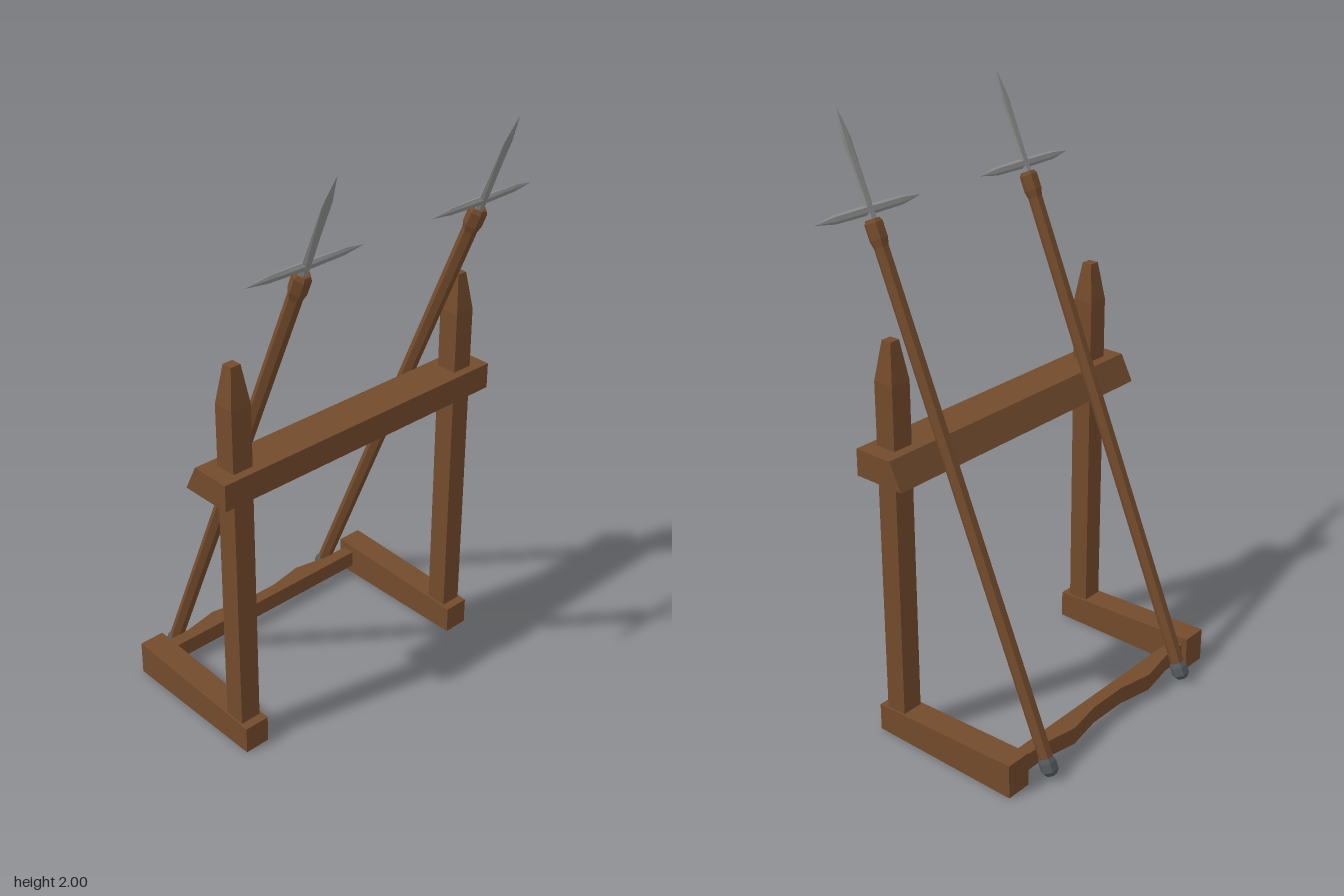
import * as THREE from 'three';

const HEX = [[1, 0], [0.5, 1], [-0.5, 1], [-1, 0], [-0.5, -1], [0.5, -1]];
const SQUARE = [[1, 1], [-1, 1], [-1, -1], [1, -1]];

// Faceted loft along y: sections are [y, half width in x, half depth in z]
function loft(outline, sections) {
  const pos = [];
  const n = outline.length;
  const rings = sections.map(([y, rx, rz]) => outline.map(([x, z]) => [x * rx, y, z * rz]));
  const tri = (a, b, c) => pos.push(...a, ...b, ...c);
  for (let k = 0; k < n; k++) {
    const m = (k + 1) % n;
    for (let i = 0; i < rings.length - 1; i++) {
      const lo = rings[i], hi = rings[i + 1];
      tri(lo[k], hi[k], hi[m]);
      tri(lo[k], hi[m], lo[m]);
    }
    const top = rings[rings.length - 1];
    tri([0, sections[0][0], 0], rings[0][k], rings[0][m]);
    tri([0, sections[sections.length - 1][0], 0], top[m], top[k]);
  }
  const g = new THREE.BufferGeometry();
  g.setAttribute('position', new THREE.Float32BufferAttribute(pos, 3));
  g.computeVertexNormals();
  return g;
}

function extrude(points, depth) {
  const shape = new THREE.Shape(points.map(([x, y]) => new THREE.Vector2(x, y)));
  return new THREE.ExtrudeGeometry(shape, { depth, bevelEnabled: false });
}

// Side profile of [z, y] points, extruded across x and centred on x = 0
function beamX(points, width) {
  return extrude(points, width).rotateY(-Math.PI / 2).translate(width / 2, 0, 0);
}

export function createModel() {
  const model = new THREE.Group();
  model.name = 'spearRack';
  const material = (name, color) => {
    const m = new THREE.MeshStandardMaterial({ color, flatShading: true });
    m.name = name;
    return m;
  };
  const wood = material('brown wood', 0x734b2c);
  const steel = material('grey steel', 0x8e8e8e);
  const iron = material('dark iron', 0x555a5c);

  const add = (parent, name, geometry, mat, x = 0, y = 0, z = 0) => {
    const mesh = new THREE.Mesh(geometry, mat);
    mesh.name = name;
    mesh.position.set(x, y, z);
    parent.add(mesh);
    return mesh;
  };

  // Feet, posts with tapered tops, and leaning spears on both sides
  const foot = beamX([[0.185, 0], [0.185, 0.095], [0.085, 0.1], [-0.375, 0.12], [-0.375, 0]], 0.09);
  const post = loft(SQUARE, [[0.05, 0.037, 0.037], [1.25, 0.037, 0.037], [1.38, 0.018, 0.018]]);
  const shaft = loft(HEX, [[0, 0.024, 0.021], [1.75, 0.024, 0.021]]);
  const cap = loft(HEX, [[-0.025, 0.018, 0.016], [-0.01, 0.03, 0.026], [0.02, 0.03, 0.026], [0.035, 0.024, 0.021]]);
  const collar = loft(HEX, [[1.7, 0.024, 0.021], [1.725, 0.03, 0.026], [1.775, 0.03, 0.026], [1.787, 0.023, 0.02]]);
  const blade = loft(HEX, [[1.78, 0.019, 0.011], [2.035, 0.018, 0.004], [2.13, 0.0005, 0.0005]]);
  const crossbar = loft(HEX, [
    [-0.217, 0.0005, 0.0005], [-0.14, 0.014, 0.007], [0, 0.016, 0.01], [0.14, 0.014, 0.007], [0.217, 0.0005, 0.0005],
  ]).rotateZ(Math.PI / 2);

  for (const [side, s] of [['left', 1], ['right', -1]]) {
    add(model, side + 'Foot', foot, wood, s * 0.47);
    add(model, side + 'Post', post, wood, s * 0.471, 0, 0.118);

    const spear = new THREE.Group();
    spear.name = side + 'Spear';
    spear.position.set(s * 0.354, 0.038, -0.4);
    spear.rotation.x = 0.4;
    add(spear, 'shaft', shaft, wood);
    add(spear, 'buttCap', cap, iron);
    add(spear, 'collar', collar, wood);
    add(spear, 'blade', blade, steel);
    add(spear, 'crossbar', crossbar, steel, 0, 1.816, 0);
    model.add(spear);
  }

  // Upper rail with a sloped back that the shafts rest on
  add(model, 'upperRail', beamX([[0.185, 0.95], [0.185, 1.04], [0.046, 1.04], [0, 0.95]], 1.13), wood);

  // Lower back rail with two low bumps that keep the spears apart
  const back = extrude([
    [-0.435, 0.31], [0.435, 0.31], [0.435, 0.355], [0.33, 0.355], [0.2, 0.379],
    [0.07, 0.355], [-0.07, 0.355], [-0.2, 0.379], [-0.33, 0.355], [-0.435, 0.355],
  ], 0.06).rotateX(-Math.PI / 2);
  add(model, 'backRail', back, wood, 0, 0.032, 0);

  return model;
}
